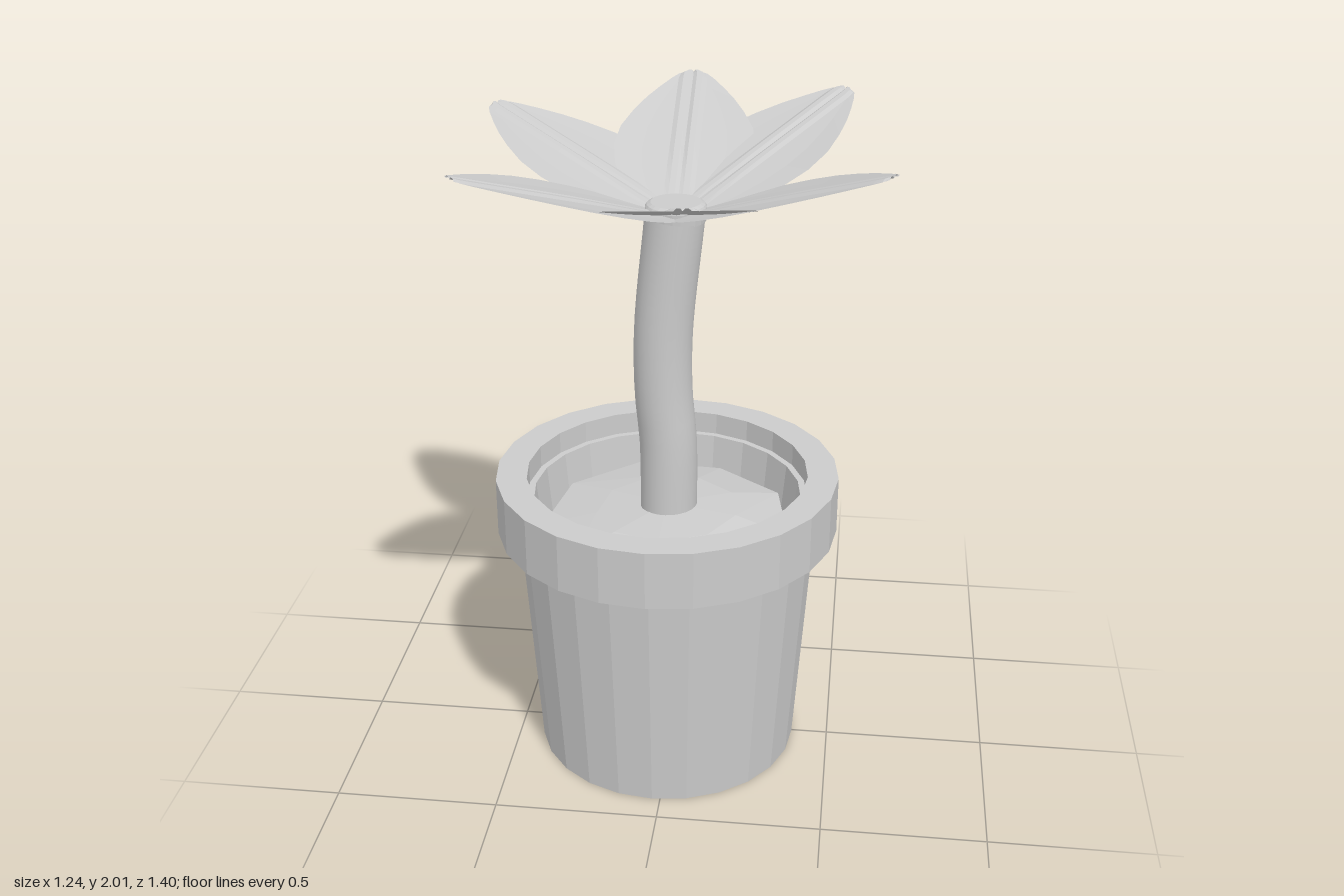
import * as THREE from 'three';

const flat = new THREE.MeshStandardMaterial({ color: 0xcccccc, flatShading: true });
const smooth = new THREE.MeshStandardMaterial({ color: 0xcccccc });
const thin = new THREE.MeshStandardMaterial({ color: 0xcccccc, flatShading: true, side: THREE.DoubleSide });

function part(name, geometry, material) {
  const mesh = new THREE.Mesh(geometry, material);
  mesh.name = name;
  return mesh;
}

function lathe(points, segments) {
  return new THREE.LatheGeometry(points.map(([r, y]) => new THREE.Vector2(r, y)), segments);
}

// One petal along +x: [fraction of length, half width], with ribs down the middle
function petalGeometry(length, rise) {
  const outline = [[0, 0.05], [0.1, 0.11], [0.2, 0.165], [0.32, 0.2], [0.45, 0.213], [0.58, 0.202],
    [0.7, 0.17], [0.8, 0.135], [0.88, 0.1], [0.95, 0.066], [0.985, 0.045], [1, 0.025]];
  // [fraction of half width or fixed offset, height]
  const ribs = [[0.045, 0], [0.03, 0.007], [0.012, 0.007], [0, 0]];
  const positions = [], index = [];
  outline.forEach(([t, w]) => {
    const half = [[w, 0.006 * Math.sin(Math.PI * t)], [w * 0.6, 0],
      ...ribs.map(([o, h]) => [Math.min(o, w * o / 0.05), h * Math.min(1, t * 2)])];
    const row = [...half.map(([z, h]) => [-z, h]), ...half.slice(0, -1).reverse()];
    row.forEach(([z, h]) => positions.push(t * length, t * rise + h, z));
  });
  const n = positions.length / 3 / outline.length;
  for (let i = 0; i < outline.length - 1; i++) {
    for (let j = 0; j < n - 1; j++) {
      const a = i * n + j, b = a + n;
      index.push(a, a + 1, b, b, a + 1, b + 1);
    }
  }
  const g = new THREE.BufferGeometry();
  g.setAttribute('position', new THREE.Float32BufferAttribute(positions, 3));
  g.setIndex(index);
  g.computeVertexNormals();
  return g;
}

export function createModel() {
  const plant = new THREE.Group();
  plant.name = 'pottedFlower';

  // Tapered pot with thick rim, outside and inside in one profile
  const pot = part('pot', lathe([[0, 0], [0.41, 0], [0.459, 0.76], [0.526, 0.76], [0.526, 0.94],
    [0.432, 0.94], [0.432, 0.87], [0.412, 0.87], [0.395, 0.7], [0, 0.7]], 24), flat);
  pot.position.set(-0.025, 0, 0.003);
  plant.add(pot);

  // Rough, slightly mounded soil
  const soilGeometry = lathe([[0.4, 0.71], [0.385, 0.78], [0.22, 0.805], [0, 0.81]], 9);
  const p = soilGeometry.attributes.position;
  for (let i = 0; i < p.count; i++) {
    const x = p.getX(i), z = p.getZ(i);
    p.setY(i, p.getY(i) + 0.018 * Math.sin(7 * x + 1) * Math.cos(6 * z));
  }
  const soil = part('soil', soilGeometry, flat);
  soil.position.copy(pot.position);
  plant.add(soil);

  // Gently bent stem
  const path = new THREE.CatmullRomCurve3([[-0.023, 0.72], [-0.023, 1.03], [-0.037, 1.2],
    [-0.037, 1.4], [-0.003, 1.75]].map(([x, y]) => new THREE.Vector3(x, y, -0.012)));
  plant.add(part('stem', new THREE.TubeGeometry(path, 16, 0.088, 24), smooth));

  // Flower: button centre and six tilted petals
  const flower = new THREE.Group();
  flower.name = 'flower';
  flower.position.set(0, 1.75, -0.015);
  flower.add(part('flowerCentre', lathe([[0, -0.01], [0.088, -0.01], [0.09, 0.03], [0.085, 0.037],
    [0.074, 0.043], [0, 0.043]], 24), flat));
  // [direction in degrees from +x towards +z, length, rise]
  const petals = [[-92, 0.685, 0.25], [-50, 0.715, 0.245], [31, 0.71, 0.245],
    [82, 0.72, 0.25], [137, 0.725, 0.24], [214, 0.725, 0.205]];
  petals.forEach(([angle, length, rise]) => {
    const petal = part('petal', petalGeometry(length, rise), thin);
    petal.rotation.y = -THREE.MathUtils.degToRad(angle);
    flower.add(petal);
  });
  plant.add(flower);
  return plant;
}
